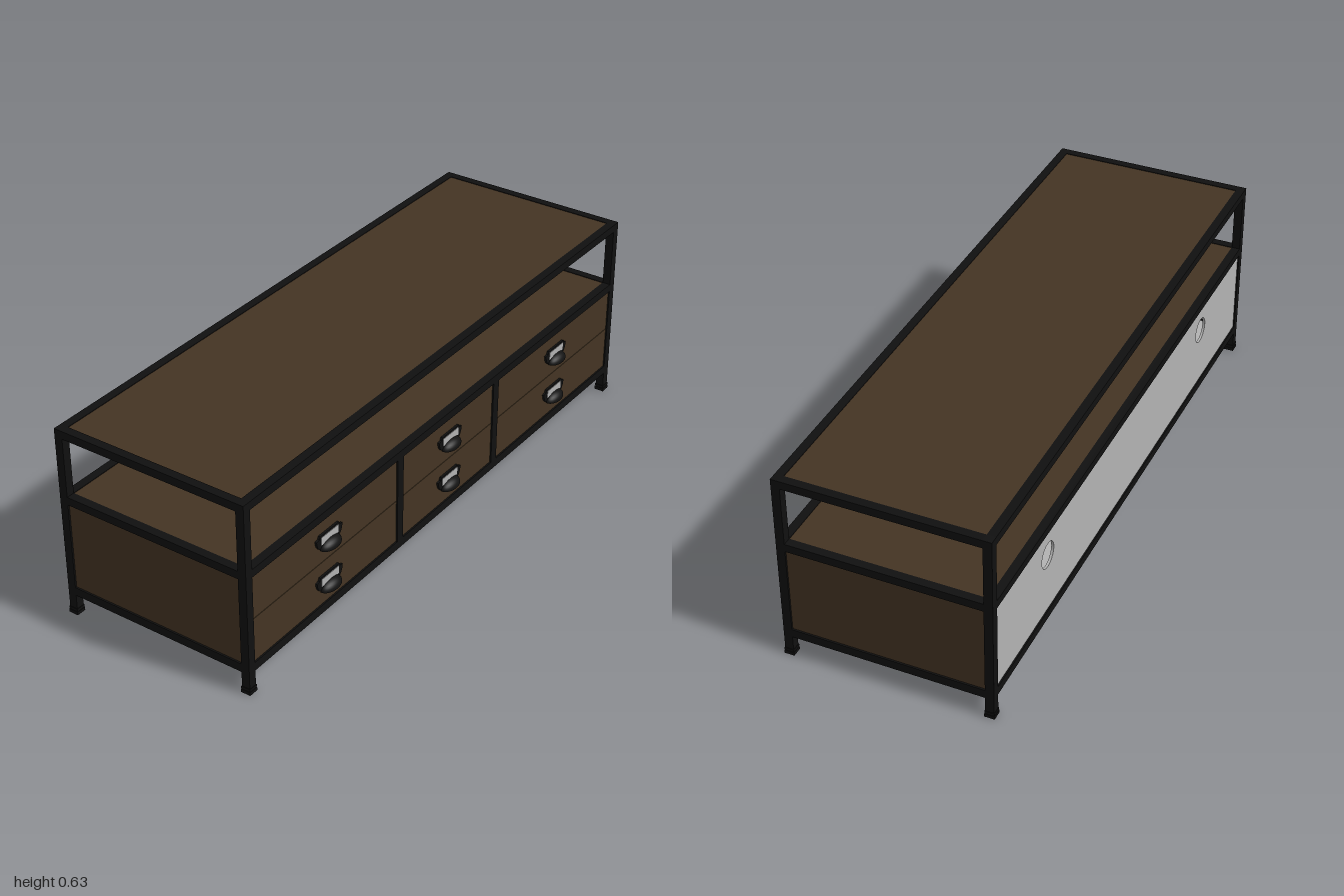
import * as THREE from 'three';

export function createModel() {
  const model = new THREE.Group();
  model.name = 'mediaConsole';

  const mat = (name, color) => {
    const m = new THREE.MeshStandardMaterial({ color });
    m.name = name;
    return m;
  };
  const metal = mat('blackMetal', 0x101010);
  const wood = mat('darkWood', 0x443423);
  const grey = mat('greyBoard', 0xb2b2b2);
  const cupMetal = mat('cupMetal', 0x121212);
  cupMetal.side = THREE.DoubleSide;

  const add = (name, geo, material, x = 0, y = 0, z = 0, parent = model) => {
    const m = new THREE.Mesh(geo, material);
    m.name = name;
    m.position.set(x, y, z);
    parent.add(m);
    return m;
  };
  // box given by its limits on each axis
  const box = (name, material, [x0, x1], [y0, y1], [z0, z1], parent = model) =>
    add(name, new THREE.BoxGeometry(x1 - x0, y1 - y0, z1 - z0), material,
      (x0 + x1) / 2, (y0 + y1) / 2, (z0 + z1) / 2, parent);
  const around = (c, half) => [c - half, c + half];

  const T = 0.0137;                 // half width of the square tube
  const X = 0.984, ZF = 0.304, ZB = -0.329;
  const XI = X - T, ZFI = ZF - T, ZBI = ZB + T;
  const ZM = (ZF + ZB) / 2;
  const DIV = 0.262;                // divider position

  // Corner posts with stepped feet
  for (const x of [-X, X]) for (const z of [ZF, ZB]) {
    box('post', metal, around(x, T), [0.018, 0.633], around(z, T));
    box('footBase', metal, around(x, 0.016), [0, 0.011], around(z, 0.016));
    box('footNeck', metal, around(x, 0.0145), [0.011, 0.014], around(z, 0.0145));
    box('footCollar', metal, around(x, 0.0155), [0.014, 0.021], around(z, 0.0155));
  }

  // Horizontal rails at the three levels
  for (const [y0, y1] of [[0.07, 0.098], [0.387, 0.413], [0.607, 0.633]]) {
    for (const z of [ZF, ZB]) box('longRail', metal, [-XI, XI], [y0, y1], around(z, T));
    for (const x of [-X, X]) box('sideRail', metal, around(x, T), [y0, y1], [ZBI, ZFI]);
  }

  // Front dividers and the rails under the floor
  for (const x of [-DIV, DIV]) {
    box('frontDivider', metal, around(x, 0.015), [0.098, 0.387], around(ZF, T));
    box('floorRail', metal, around(x, T), [0.07, 0.095], [ZBI, ZFI]);
  }

  // Wooden top, shelf and sides
  box('topPanel', wood, [-XI, XI], [0.614, 0.631], [ZBI, ZFI]);
  box('shelfPanel', wood, [-XI, XI], [0.394, 0.411], [ZBI, ZFI]);
  for (const s of [-1, 1])
    box('sidePanel', wood, around(s * 0.984, 0.008), [0.098, 0.387], [ZBI, ZFI]);

  // Floor board
  box('floorPanel', grey, [-XI, XI], [0.084, 0.092], [ZBI, ZFI]);

  // Back board with two cable holes
  const back = new THREE.Shape();
  back.moveTo(-XI, 0.098).lineTo(XI, 0.098).lineTo(XI, 0.387).lineTo(-XI, 0.387).closePath();
  for (const x of [-0.62, 0.62])
    back.holes.push(new THREE.Path().absarc(x, 0.3, 0.042, 0, Math.PI * 2, true));
  add('backPanel', new THREE.ExtrudeGeometry(back,
    { depth: 0.008, bevelEnabled: false, curveSegments: 32 }), grey, 0, 0, -0.338);

  // Fixing tabs beneath the top, shelf and floor
  const tab = (x, y, z) => box('fixingTab', metal, around(x, 0.017), around(y, 0.002), around(z, 0.012));
  for (const y of [0.612, 0.392]) {
    for (const z of [ZFI - 0.01, ZBI + 0.01])
      for (const x of [-0.6, -0.22, 0.22, 0.6]) tab(x, y, z);
    for (const x of [-XI + 0.012, XI - 0.012]) tab(x, y, ZM);
  }
  for (const z of [ZFI - 0.01, ZBI + 0.01])
    for (const x of [-0.8, -0.44, -0.12, 0.12, 0.44, 0.8]) tab(x, 0.082, z);
  for (const x of [-XI + 0.012, XI - 0.012]) tab(x, 0.082, ZM);

  // Cup pull: back plate, label and an open quarter dome
  const plate = new THREE.Shape();
  plate.moveTo(-0.045, 0.022).lineTo(0.045, 0.022).lineTo(0.049, 0.013).lineTo(0.062, 0.01);
  plate.quadraticCurveTo(0.058, -0.029, 0.025, -0.029);
  plate.lineTo(-0.025, -0.029);
  plate.quadraticCurveTo(-0.058, -0.029, -0.062, 0.01);
  plate.lineTo(-0.049, 0.013).closePath();
  const plateGeo = new THREE.ExtrudeGeometry(plate,
    { depth: 0.007, bevelEnabled: false, curveSegments: 8 });
  const domeGeo = new THREE.SphereGeometry(1, 20, 8, 0, Math.PI, 0, Math.PI / 2);
  domeGeo.scale(0.046, 0.024, 0.026);
  domeGeo.rotateX(0.15);

  const pull = (x, y) => {
    const g = new THREE.Group();
    g.name = 'cupPull';
    g.position.set(x, y, 0.314);
    model.add(g);
    add('pullPlate', plateGeo, metal, 0, 0, 0, g);
    box('pullLabel', grey, around(0, 0.041), [-0.01, 0.016], [0.006, 0.0085], g);
    add('pullCup', domeGeo, cupMetal, 0, -0.026, 0.007, g);
  };

  // Two drawer fronts in each of three bays
  const bays = [[-XI, -DIV - 0.015], [-DIV + 0.015, DIV - 0.015], [DIV + 0.015, XI]];
  bays.forEach(([x0, x1], i) => {
    for (const [y0, y1] of [[0.1, 0.2435], [0.2455, 0.385]])
      box('drawerFront', wood, [x0 + 0.002, x1 - 0.002], [y0, y1], [0.296, 0.314]);
    box('drawerBacking', wood, [x0, x1], [0.098, 0.387], [0.288, 0.296]);
    for (const y of [0.179, 0.323]) pull((i - 1) * 0.622, y);
  });

  return model;
}
